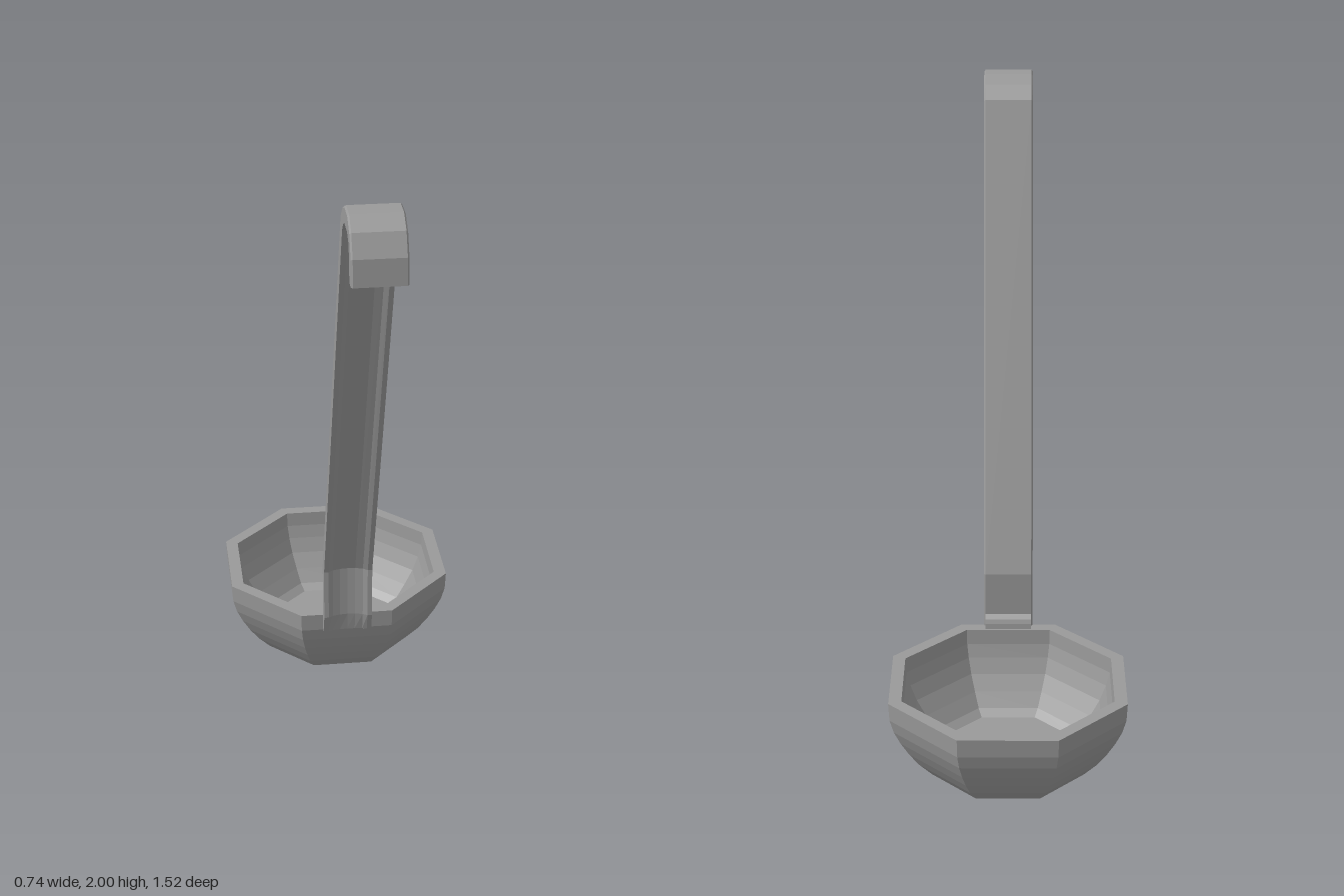
import * as THREE from 'three';

const steel = new THREE.MeshStandardMaterial({ color: 0x999999, flatShading: true });
steel.name = 'grey steel';

// Octagonal bowl: profile runs up the outside, over the rim and down the inside
function makeBowl() {
  const profile = [
    [0, 0], [0.215, 0], [0.24, 0.015], [0.28, 0.06], [0.31, 0.105], [0.335, 0.15],
    [0.355, 0.195], [0.367, 0.24], [0.37, 0.3],
    [0.33, 0.3], [0.327, 0.25], [0.315, 0.205], [0.295, 0.155], [0.265, 0.105],
    [0.235, 0.06], [0.21, 0.04], [0, 0.04],
  ];
  const corner = 1 / Math.cos(Math.PI / 8); // flat-side distance to corner radius
  const points = profile.map(([r, y]) => new THREE.Vector2(r * corner, y));
  const bowl = new THREE.Mesh(new THREE.LatheGeometry(points, 8, Math.PI / 8), steel);
  bowl.position.z = -0.39;
  bowl.name = 'bowl';
  return bowl;
}

// Hooked handle: a grooved strip swept through stations of [outer z, y, inner z, y]
function makeHandle() {
  const stations = [
    [0.757, 1.82, 0.716, 1.82],
    [0.751, 1.9, 0.711, 1.885],
    [0.718, 1.965, 0.692, 1.928],
    [0.667, 2.0, 0.66, 1.947],
    [0.6, 2.0, 0.597, 1.947],
    [0.55, 1.978, 0.568, 1.932],
    [0.504, 1.938, 0.546, 1.905],
    [-0.032, 0.49, 0.016, 0.485],
    [-0.032, 0.31, 0.016, 0.31],
    [-0.025, 0.245, -0.004, 0.245],
  ];
  // Cross-section as [x, depth from the inner face (0) to the outer face (1)]
  const section = [
    [0.08, 0], [0.065, 0], [0.05, 0.2], [0.025, 0.32], [0, 0.36], [-0.025, 0.32],
    [-0.05, 0.2], [-0.065, 0], [-0.08, 0], [-0.08, 0.88], [-0.075, 1], [0.075, 1], [0.08, 0.88],
  ];
  const place = ([oz, oy, iz, iy], [x, t]) => [x, iy + (oy - iy) * t, iz + (oz - iz) * t];
  const rings = stations.map((s) => section.map((p) => place(s, p)));
  const n = section.length;
  const last = rings.length - 1;
  const verts = [];
  const tri = (...corners) => corners.forEach((c) => verts.push(...c));
  const startMid = place(stations[0], [0, 0.8]);
  const endMid = place(stations[last], [0, 0.8]);
  for (let j = 0; j < n; j++) {
    const k = (j + 1) % n;
    for (let i = 0; i < last; i++) {
      tri(rings[i][j], rings[i][k], rings[i + 1][k]);
      tri(rings[i][j], rings[i + 1][k], rings[i + 1][j]);
    }
    tri(startMid, rings[0][k], rings[0][j]);
    tri(endMid, rings[last][j], rings[last][k]);
  }
  const geometry = new THREE.BufferGeometry();
  geometry.setAttribute('position', new THREE.Float32BufferAttribute(verts, 3));
  geometry.computeVertexNormals();
  const handle = new THREE.Mesh(geometry, steel);
  handle.name = 'handle';
  return handle;
}

// Small lip that laps the handle over the bowl rim
function makeLip() {
  const shape = new THREE.Shape(
    [[0.02, 0.29], [0.055, 0.29], [0.052, 0.318], [0.046, 0.332], [0.031, 0.346], [0.02, 0.346]]
      .map(([back, y]) => new THREE.Vector2(back, y)),
  );
  const geometry = new THREE.ExtrudeGeometry(shape, { depth: 0.15, bevelEnabled: false });
  geometry.translate(0, 0, -0.075).rotateY(Math.PI / 2);
  const lip = new THREE.Mesh(geometry, steel);
  lip.name = 'rimLip';
  return lip;
}

export function createModel() {
  const ladle = new THREE.Group();
  ladle.name = 'ladle';
  ladle.add(makeBowl(), makeHandle(), makeLip());
  return ladle;
}
